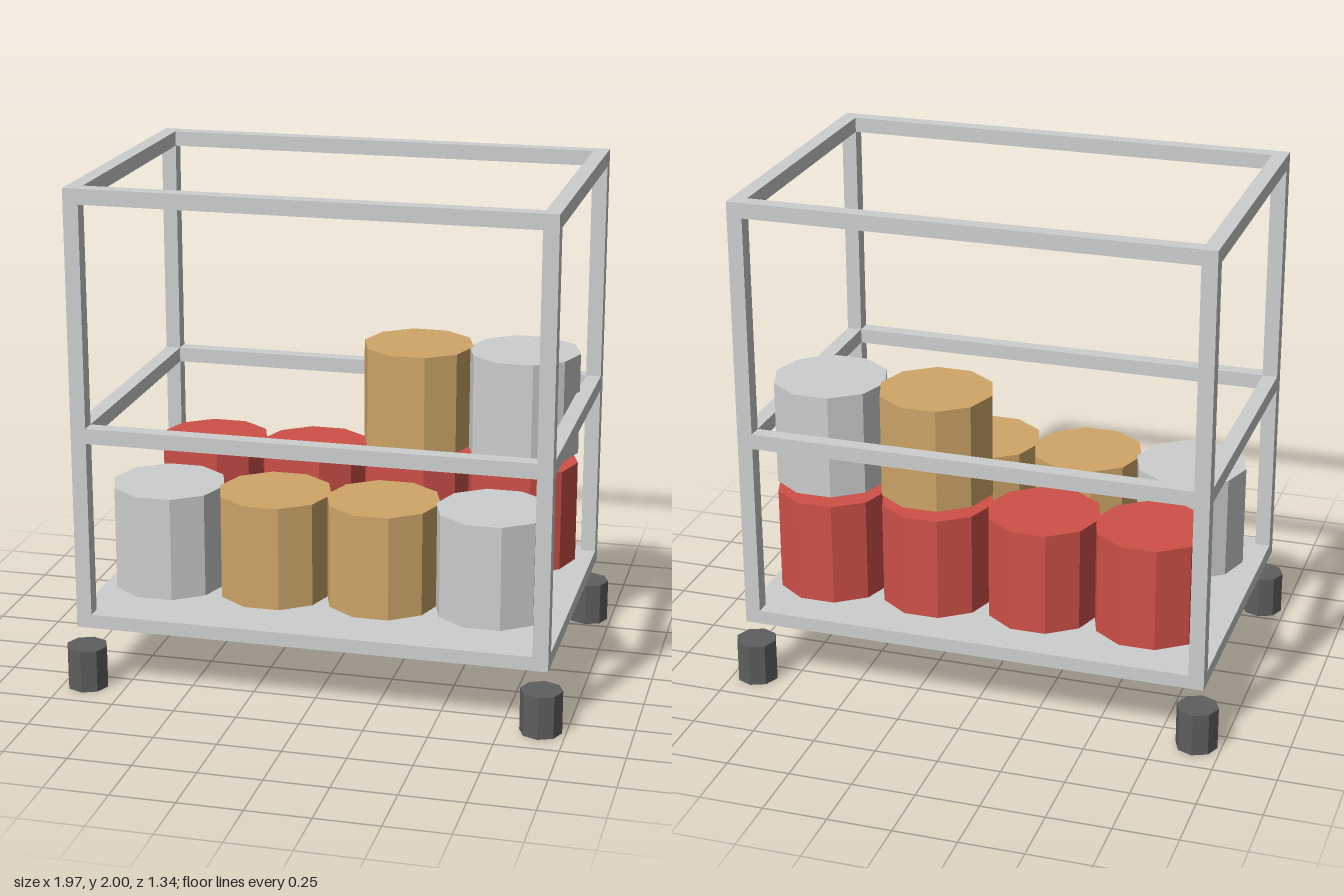
import * as THREE from 'three';

export function createModel() {
  const model = new THREE.Group();
  model.name = 'drumCart';

  const material = (name, color) => {
    const m = new THREE.MeshStandardMaterial({ color, flatShading: true });
    m.name = name;
    return m;
  };
  const grey = material('light grey', 0xcdcfce);
  const red = material('red', 0xcf5048);
  const tan = material('tan', 0xcfa668);
  const dark = material('dark grey', 0x5e5e5f);

  const add = (parent, name, geometry, mat, x, y, z) => {
    const mesh = new THREE.Mesh(geometry, mat);
    mesh.name = name;
    mesh.position.set(x, y, z);
    parent.add(mesh);
    return mesh;
  };

  const X = 0.93, Z = 0.62, BAR = 0.06; // outer half sizes and bar width
  const FLOOR = 0.255, DECK = 0.31, TOP = 2;

  // Deck
  add(model, 'deck', new THREE.BoxGeometry(2 * X, DECK - FLOOR, 2 * Z), grey, 0, (FLOOR + DECK) / 2, 0);

  // Open frame: corner posts with middle and top rails between them
  const frame = new THREE.Group();
  frame.name = 'frame';
  model.add(frame);
  const px = X - BAR / 2, pz = Z - BAR / 2;
  const post = new THREE.BoxGeometry(BAR, TOP - DECK, BAR);
  const longRail = new THREE.BoxGeometry(2 * (X - BAR), BAR, BAR);
  const shortRail = new THREE.BoxGeometry(BAR, BAR, 2 * (Z - BAR));
  for (const s of [-1, 1]) {
    for (const t of [-1, 1]) add(frame, 'post', post, grey, s * px, (TOP + DECK) / 2, t * pz);
    for (const y of [1.04, TOP - BAR / 2]) {
      add(frame, 'longRail', longRail, grey, 0, y, s * pz);
      add(frame, 'shortRail', shortRail, grey, s * px, y, 0);
    }
  }

  // Wheels under the corners
  const wheel = new THREE.CylinderGeometry(0.082, 0.082, 0.17, 8);
  for (const s of [-1, 1])
    for (const t of [-1, 1]) add(model, 'wheel', wheel, dark, s * 0.903, 0.085, t * 0.59);

  // Ten-sided drums, in rows from right to left
  const drum = new THREE.CylinderGeometry(0.226, 0.226, 0.414, 10).rotateY(Math.PI / 2);
  const rows = [
    { name: 'frontDrum', y: 0.562, z: 0.29, colors: [grey, tan, tan, grey] },
    { name: 'backDrum', y: 0.562, z: -0.33, colors: [red, red, red, red] },
    { name: 'stackedDrum', y: 1.019, z: -0.33, colors: [null, null, tan, grey] },
  ];
  for (const { name, y, z, colors } of rows)
    colors.forEach((mat, i) => {
      if (mat) add(model, name, drum, mat, -0.648 + 0.434 * i, y, z);
    });

  return model;
}
